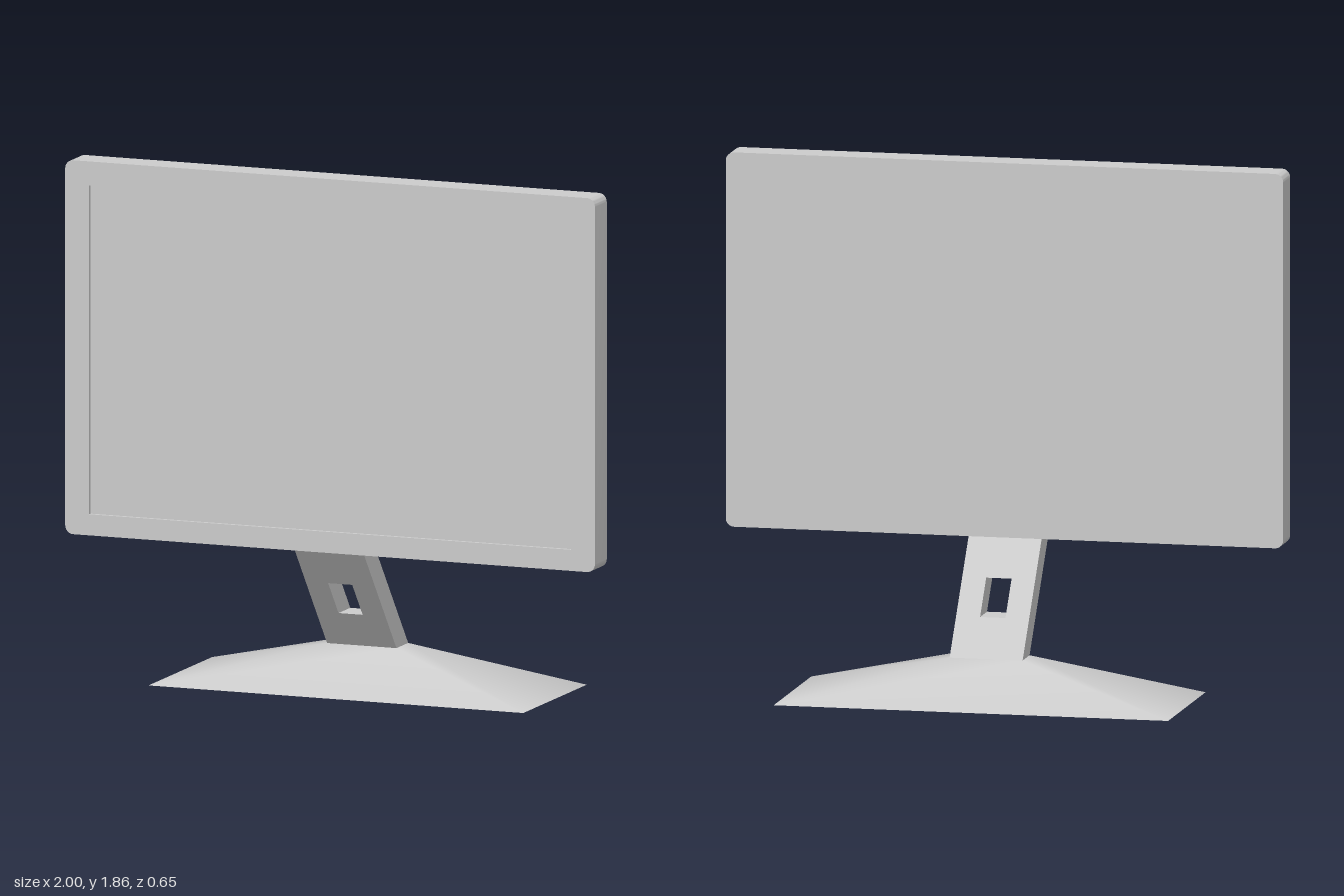
import * as THREE from 'three';
import { toCreasedNormals } from 'three/addons/utils/BufferGeometryUtils.js';

const grey = new THREE.MeshStandardMaterial({ color: 0xcccccc });

// Rectangle outline with optional rounded corners
function rect(T, x0, y0, x1, y1, r = 0) {
  const s = new T();
  if (!r) {
    return s.setFromPoints([[x0, y0], [x1, y0], [x1, y1], [x0, y1]].map(p => new THREE.Vector2(...p)));
  }
  s.absarc(x1 - r, y0 + r, r, -Math.PI / 2, 0);
  s.absarc(x1 - r, y1 - r, r, 0, Math.PI / 2);
  s.absarc(x0 + r, y1 - r, r, Math.PI / 2, Math.PI);
  s.absarc(x0 + r, y0 + r, r, Math.PI, Math.PI * 1.5);
  s.closePath();
  return s;
}

function extrude(shape, z0, z1) {
  const g = new THREE.ExtrudeGeometry(shape, { depth: z1 - z0, bevelEnabled: false, curveSegments: 6 });
  return g.translate(0, 0, z0);
}

export function createModel() {
  const model = new THREE.Group();
  model.name = 'monitor';
  const add = (name, geometry) => {
    const mesh = new THREE.Mesh(geometry, grey);
    mesh.name = name;
    model.add(mesh);
  };

  // Screen: rounded slab, with a thin bezel ring leaving a recessed panel
  const outline = () => rect(THREE.Shape, -1, 0.53, 1, 1.86, 0.03);
  const bezel = outline();
  bezel.holes.push(rect(THREE.Path, -0.91, 0.605, 0.91, 1.775));
  add('screenBody', toCreasedNormals(extrude(outline(), 0.215, 0.311), 0.6));
  add('screenBezel', toCreasedNormals(extrude(bezel, 0.311, 0.325), 0.6));

  // Neck: plate with a cable hole, sheared forward towards the screen
  const plate = rect(THREE.Shape, -0.133, 0.15, 0.129, 0.53);
  plate.holes.push(rect(THREE.Path, -0.048, 0.28, 0.043, 0.403));
  const neck = extrude(plate, -0.083, 0.026);
  const p = neck.attributes.position;
  for (let i = 0; i < p.count; i++) {
    p.setZ(i, p.getZ(i) + (p.getY(i) - 0.15) * (0.299 / 0.38));
  }
  neck.computeVertexNormals();
  add('neck', neck);

  // Base: low pyramid with smooth sloping sides, cut off under the neck
  const ring = (x0, x1, y, z0, z1) => [x0, y, z1, x1, y, z1, x1, y, z0, x0, y, z0];
  const slopes = new THREE.BufferGeometry();
  slopes.setAttribute('position', new THREE.Float32BufferAttribute([
    ...ring(-0.71, 0.705, 0, -0.325, 0.265),
    ...ring(-0.133, 0.129, 0.15, -0.083, 0.026),
  ], 3));
  const faces = [4, 5, 6, 4, 6, 7];
  for (let i = 0; i < 4; i++) {
    const j = (i + 1) % 4;
    faces.push(i, j, j + 4, i, j + 4, i + 4);
  }
  slopes.setIndex(faces);
  slopes.computeVertexNormals();
  add('baseSlopes', slopes);
  add('baseUnderside', new THREE.PlaneGeometry(1.415, 0.59).rotateX(Math.PI / 2).translate(-0.0025, 0, -0.03));

  return model;
}
